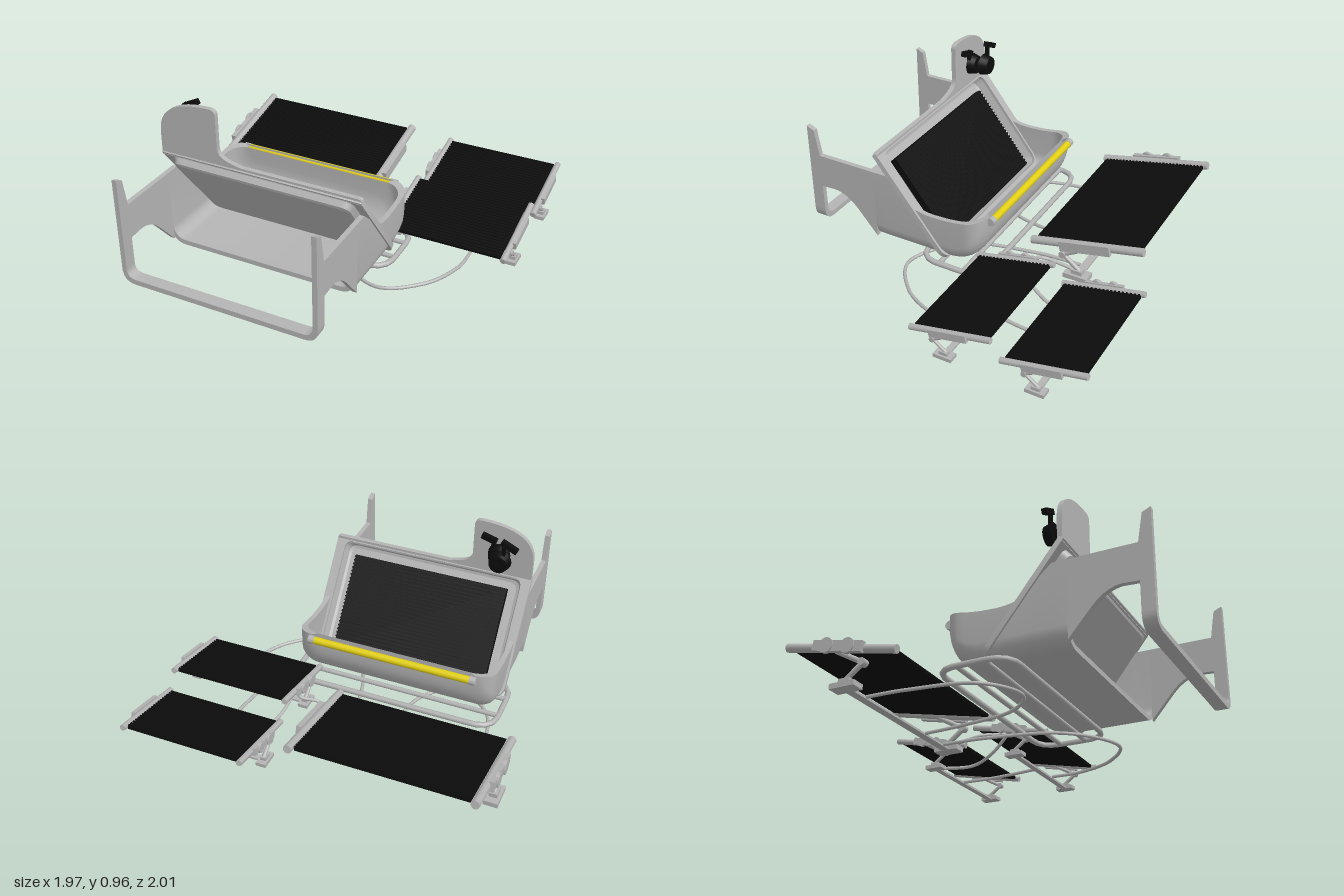
import * as THREE from 'three';
import { mergeGeometries, toCreasedNormals } from 'three/addons/utils/BufferGeometryUtils.js';

const mat = (name, color) => {
  const m = new THREE.MeshStandardMaterial({ color, side: THREE.DoubleSide });
  m.name = name;
  return m;
};
const V = (x, y, z) => new THREE.Vector3(x, y, z);

export function createModel() {
  const grey = mat('light grey', 0xb4b4b4), black = mat('black', 0x0c0c0c), yellow = mat('yellow', 0xe2cf12);
  const model = new THREE.Group();
  const add = (parent, name, geo, material, x = 0, y = 0, z = 0, rx = 0, ry = 0, rz = 0) => {
    const m = new THREE.Mesh(geo, material);
    m.name = name;
    m.position.set(x, y, z);
    m.rotation.set(rx, ry, rz);
    parent.add(m);
    return m;
  };
  const group = (parent, name, x = 0, y = 0, z = 0, rx = 0) => {
    const g = new THREE.Group();
    g.name = name;
    g.position.set(x, y, z);
    g.rotation.x = rx;
    parent.add(g);
    return g;
  };
  const box = (w, h, d) => new THREE.BoxGeometry(w, h, d);
  const extrude = (shape, depth) => toCreasedNormals(
    new THREE.ExtrudeGeometry(shape, { depth, bevelEnabled: false, curveSegments: 10 }), 0.6);
  const tube = (pts, r, closed = false, tension = 0.5) => new THREE.TubeGeometry(
    new THREE.CatmullRomCurve3(pts, closed, 'catmullrom', tension), 64, r, 8, closed);
  // Cylinder between two points
  const rod = (parent, name, a, b, r) => {
    const m = add(parent, name, new THREE.CylinderGeometry(r, r, a.distanceTo(b), 10), grey);
    m.position.copy(a).add(b).multiplyScalar(0.5);
    m.quaternion.setFromUnitVectors(V(0, 1, 0), b.clone().sub(a).normalize());
  };
  // Surface through a list of equal, closed point loops
  const skin = (loops, capStart = false) => {
    const n = loops[0].length, idx = [];
    for (let k = 0; k < loops.length - 1; k++)
      for (let i = 0; i < n; i++) {
        const a = k * n + i, b = k * n + (i + 1) % n;
        idx.push(a, a + n, b, b, a + n, b + n);
      }
    if (capStart) for (let i = 0; i < n / 2 - 1; i++) {
      const j = n - 1 - i;
      idx.push(i, i + 1, j, i + 1, j - 1, j);
    }
    const g = new THREE.BufferGeometry().setFromPoints(loops.flat());
    g.setIndex(idx);
    return toCreasedNormals(g, 0.7);
  };
  // Rectangle with separate bottom and top corner radii
  const roundRect = (x0, x1, y0, y1, rb, rt = rb, S = THREE.Shape) => {
    const s = new S();
    s.moveTo(x0 + rb, y0).lineTo(x1 - rb, y0).quadraticCurveTo(x1, y0, x1, y0 + rb);
    s.lineTo(x1, y1 - rt).quadraticCurveTo(x1, y1, x1 - rt, y1);
    s.lineTo(x0 + rt, y1).quadraticCurveTo(x0, y1, x0, y1 - rt);
    s.lineTo(x0, y0 + rb).quadraticCurveTo(x0, y0, x0 + rb, y0);
    return s;
  };
  // Black surface with fine ribs on its +z side
  const ribbed = (w, h, d) => {
    const parts = [box(w, h, d)], n = Math.round(h / 0.022);
    for (let i = 0; i < n; i++)
      parts.push(box(w + 0.008, 0.01, 0.006).translate(0, (i + 0.5) * h / n - h / 2, d / 2 + 0.001));
    return mergeGeometries(parts);
  };

  // ---- Tub shell: U sections closing into a rounded back ----
  const body = group(model, 'body', -0.2);
  const rimHeight = z => z >= 0.49 ? 0.53 : z > 0.31 ? 0.37 + (z - 0.31) / 0.18 * 0.16
    : z > 0.2 ? 0.355 + 0.015 * ((z - 0.2) / 0.11) ** 2 : 0.355 + 0.045 * ((0.2 - z) / 0.3) ** 2;
  const section = (z, b, inset) => {
    const d = Math.min(0.1, z + 0.1 - inset), h = rimHeight(z);
    const w = 0.575 - inset - 0.1 + Math.sqrt(Math.max(0, 0.01 - (0.1 - d) ** 2));
    const r = Math.min(0.1 - inset, h - b), pts = [V(-w, h, z)];
    for (let i = 0; i <= 6; i++) {
      const a = i / 6 * Math.PI / 2;
      pts.push(V(-w + r * (1 - Math.cos(a)), b + r * (1 - Math.sin(a)), z));
    }
    return [...pts, ...pts.slice().reverse().map(p => V(-p.x, p.y, z))];
  };
  const side = inset => {
    const out = [0.57, 0.49, 0.4, 0.31, 0.25, 0.2].map(z => section(z, 0.09 + inset, inset));
    for (let i = 0; i <= 12; i++) {
      const a = i / 12 * Math.PI / 2;
      out.push(section(0.12 - (0.22 - inset) * Math.sin(a), 0.31 - (0.22 - inset) * Math.cos(a), inset));
    }
    const zEnd = -0.1 + inset;
    for (const t of [0.5, 1]) out.push(section(zEnd, 0.31 + (rimHeight(zEnd) - 0.31) * t, inset));
    return out;
  };
  const inner = side(0.028);
  add(body, 'tub shell', skin(side(0).map((o, k) => [...o, ...inner[k].slice().reverse()]), true), grey);

  // ---- Side arms with front posts, and the bar joining them ----
  const arm = new THREE.Shape();
  arm.moveTo(0.57, 0.11).lineTo(0.69, 0.25).quadraticCurveTo(0.76, 0.33, 0.84, 0.335);
  arm.lineTo(0.93, 0.33).lineTo(0.93, 0.17).lineTo(1, 0.17).lineTo(1, 0.705).lineTo(0.955, 0.685);
  arm.lineTo(0.93, 0.53).lineTo(0.57, 0.53).lineTo(0.57, 0.11);
  for (const s of [-1, 1])
    add(body, 'side arm', extrude(arm, 0.028), grey, s * 0.561 + 0.014, 0, 0, 0, -Math.PI / 2);
  body.children.filter(m => m.name === 'side arm').forEach(m => {
    m.geometry.scale(1, 1, 1);
  });
  const bar = new THREE.Shape();
  bar.moveTo(-0.575, 0.17).quadraticCurveTo(-0.575, 0.09, -0.495, 0.09).lineTo(0.495, 0.09);
  bar.quadraticCurveTo(0.575, 0.09, 0.575, 0.17).lineTo(0.547, 0.17);
  bar.quadraticCurveTo(0.547, 0.12, 0.49, 0.12).lineTo(-0.49, 0.12).quadraticCurveTo(-0.547, 0.12, -0.547, 0.17);
  add(body, 'front foot bar', extrude(bar, 0.07), grey, 0, 0, 0.93);

  // ---- Sloping panel with a tray that holds the main screen ----
  const panel = group(body, 'sloping panel', 0, 0.1, 0.12, 0.664);
  const sheet = roundRect(-0.587, 0.587, 0, 0.7, 0.08, 0.005);
  sheet.holes.push(roundRect(-0.535, 0.535, 0.045, 0.675, 0.05, 0.05, THREE.Path));
  add(panel, 'panel frame', extrude(sheet, 0.03), grey, 0, 0, -0.018);
  const ring = (w, y0, y1, z) => roundRect(-w, w, y0, y1, 0.05).getPoints(6).slice(0, -1).map(p => V(p.x, p.y, z));
  add(panel, 'tray wall', skin([ring(0.535, 0.045, 0.675, 0), ring(0.52, 0.06, 0.665, 0.045), ring(0.505, 0.075, 0.65, 0.052)]), grey);
  add(panel, 'tray floor', new THREE.ShapeGeometry(roundRect(-0.505, 0.505, 0.075, 0.65, 0.05)), grey, 0, 0, 0.052);
  add(panel, 'main screen', ribbed(0.92, 0.545, 0.045), black, 0, 0.335, 0.024, 0, Math.PI);

  // ---- Upright paddle above the panel ----
  const paddle = new THREE.Shape();
  paddle.moveTo(-0.585, 0.63).lineTo(0.587, 0.63).lineTo(0.587, 0.65).quadraticCurveTo(0.587, 0.662, 0.57, 0.662);
  paddle.lineTo(-0.1, 0.662).bezierCurveTo(-0.19, 0.68, -0.24, 0.69, -0.24, 0.75);
  paddle.lineTo(-0.24, 0.93).quadraticCurveTo(-0.24, 0.962, -0.28, 0.962);
  paddle.bezierCurveTo(-0.44, 0.96, -0.585, 0.92, -0.585, 0.77).lineTo(-0.585, 0.63);
  add(body, 'control paddle', extrude(paddle, 0.028), grey, 0, 0, 0.526);

  // ---- Hand controls on the paddle ----
  const controls = group(model, 'hand controls', -0.61, 0.785, 0);
  const dial = (name, r, d, x, z) =>
    add(controls, name, new THREE.CylinderGeometry(r * 0.8, r, d, 20), black, x, 0, z, -Math.PI / 2);
  dial('rear dial', 0.064, 0.045, 0.015, 0.487);
  dial('front dial', 0.064, 0.05, -0.01, 0.42);
  dial('dial shaft', 0.03, 0.12, 0, 0.46);
  add(controls, 'lever', box(0.1, 0.03, 0.03), black, -0.06, 0.11, 0.427, 0, 0, 0.45);
  add(controls, 'lever', box(0.09, 0.03, 0.03), black, 0.075, 0.09, 0.503, 0, 0, 0.3);
  add(controls, 'lever stem', box(0.02, 0.1, 0.02), black, -0.03, 0.06, 0.427);
  add(controls, 'lever stem', box(0.02, 0.1, 0.02), black, 0.05, 0.05, 0.503);

  // ---- Yellow bar on the back rim ----
  const rail = new THREE.CylinderGeometry(0.021, 0.021, 0.91, 16);
  add(body, 'rim bar', rail, yellow, 0, 0.372, -0.113, 0, 0, Math.PI / 2);
  for (const s of [-1, 1])
    add(body, 'bar end', new THREE.CylinderGeometry(0.024, 0.024, 0.035, 16), grey, s * 0.47, 0.372, -0.112, 0, 0, Math.PI / 2);

  // ---- Base tube loop under the tub ----
  const loop = roundRect(-0.6, 0.6, -0.28, 0.118, 0.12).getPoints(8).slice(0, -1).map(p => V(p.x, 0.08, -p.y));
  add(body, 'base tube', tube(loop, 0.016, true, 0.1), grey);
  for (const z of [0, 0.15]) rod(body, 'base cross tube', V(-0.6, 0.08, z), V(0.6, 0.08, z), 0.014);

  // ---- Three tilted floor screens on folding stands ----
  const floorScreen = (cx, cy, cz, w, len, k) => {
    const g = group(model, 'floor screen', cx, 0, cz);
    const deck = group(g, 'deck', 0, cy, 0, 0.21);
    add(deck, 'screen', ribbed(w, len * 0.97, 0.016), black, 0, 0, 0, -Math.PI / 2);
    const zf = 0.035 * k;
    add(g, 'floor bar', box(w + 0.05, 0.012, 0.035 * k), grey, 0, 0.007, zf);
    for (const s of [-1, 1]) {
      const x = s * (w / 2 + 0.022 * k), r = 0.018 * k;
      add(deck, 'side rail', new THREE.CylinderGeometry(r, r, len + 0.02, 12), grey, x, 0, 0, Math.PI / 2);
      add(deck, 'clamp', box(0.022 * k, 0.045 * k, 0.23 * k), grey, x + s * 0.02 * k, 0, 0);
      add(g, 'foot', box(0.06 * k, 0.022 * k, 0.11 * k), grey, x, 0.011 * k, zf);
      add(g, 'foot pivot', box(0.035 * k, 0.022 * k, 0.05 * k), grey, x, 0.03 * k, zf);
      const elbow = V(x, cy * 0.55, zf + 0.07 * k), low = V(x, 0.035 * k, zf - 0.01), top = V(x, cy - 0.01, -0.02 * k);
      rod(g, 'lower link', low, elbow, 0.011 * k);
      rod(g, 'upper link', elbow, top, 0.011 * k);
      add(g, 'elbow', new THREE.CylinderGeometry(0.016 * k, 0.016 * k, 0.03 * k, 12), grey, x, elbow.y, elbow.z, 0, 0, Math.PI / 2);
    }
    // Pair of round knobs on the outer clamp
    for (const z of [-0.05, 0.05])
      add(deck, 'knob', new THREE.CylinderGeometry(0.032 * k, 0.032 * k, 0.02, 14), grey, -w / 2 - 0.05 * k, 0, z * k, 0, 0, Math.PI / 2);
  };
  floorScreen(-0.45, 0.228, -0.57, 0.93, 0.65, 1.3);
  floorScreen(0.61, 0.165, -0.255, 0.645, 0.455, 0.95);
  floorScreen(0.61, 0.165, -0.772, 0.645, 0.455, 0.95);

  // ---- Cables on the floor and between screens ----
  const cable = (...p) => add(model, 'cable', tube(p.map(q => V(...q)), 0.01), grey);
  cable([-0.8, 0.012, -0.5], [-0.79, 0.012, -0.28], [-0.72, 0.012, 0.06], [-0.5, 0.012, 0.2], [-0.32, 0.012, 0.05], [-0.26, 0.012, -0.25], [-0.24, 0.012, -0.5]);
  cable([-0.05, 0.012, -0.5], [-0.03, 0.012, -0.22], [0.08, 0.012, 0.16], [0.37, 0.012, 0.355], [0.6, 0.012, 0.22], [0.71, 0.012, 0], [0.72, 0.012, -0.2]);
  cable([0.03, 0.03, -0.52], [0.06, 0.07, -0.33], [0.15, 0.1, -0.295], [0.24, 0.14, -0.34], [0.29, 0.15, -0.28]);
  cable([0.29, 0.15, -0.28], [0.32, 0.06, -0.4], [0.36, 0.02, -0.55], [0.32, 0.02, -0.74]);
  cable([0.55, 0.012, -0.23], [0.585, 0.012, -0.5], [0.58, 0.012, -0.74]);
  return model;
}
